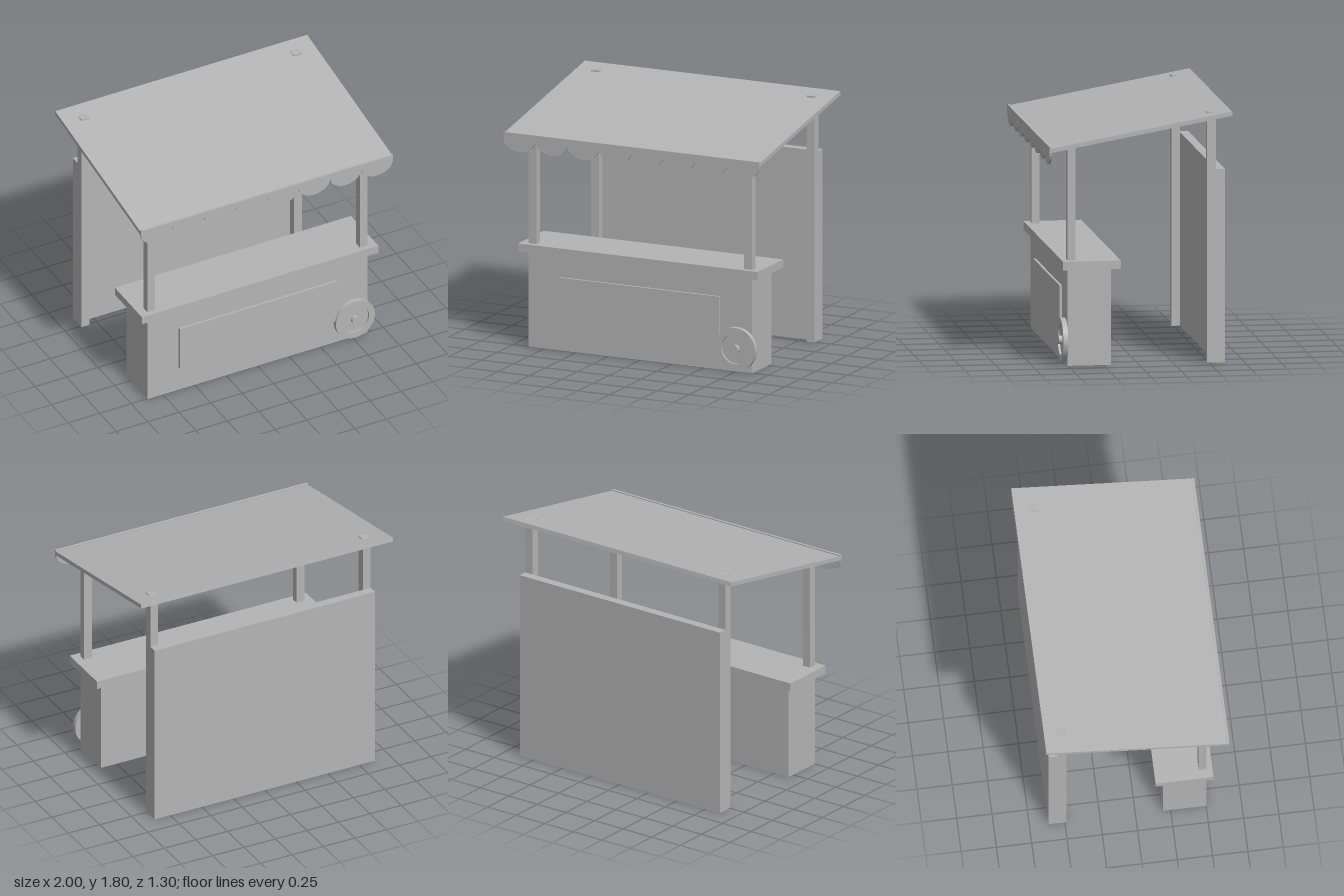
import * as THREE from 'three';

export function createModel() {
  const model = new THREE.Group();
  model.name = 'marketStall';
  const grey = new THREE.MeshStandardMaterial({ color: 0xb4b4b4 });
  grey.name = 'plain grey';

  const add = (name, geometry, parent = model) => {
    const mesh = new THREE.Mesh(geometry, grey);
    mesh.name = name;
    parent.add(mesh);
    return mesh;
  };
  // Box given by its lower and upper corners
  const box = (name, [x0, y0, z0], [x1, y1, z1]) => {
    const mesh = add(name, new THREE.BoxGeometry(x1 - x0, y1 - y0, z1 - z0));
    mesh.position.set((x0 + x1) / 2, (y0 + y1) / 2, (z0 + z1) / 2);
    return mesh;
  };

  // Counter
  box('counterBody', [-0.875, 0, 0.195], [0.875, 0.69, 0.505]);
  box('counterTop', [-0.938, 0.69, 0.135], [0.938, 0.75, 0.545]);
  box('frontPanel', [-0.625, 0.19, 0.505], [0.625, 0.532, 0.523]);

  // Back wall and four posts
  box('backWall', [-0.875, 0, -0.615], [0.875, 1.375, -0.55]);
  for (const side of [-1, 1]) {
    const x0 = side * 0.844 - 0.031, x1 = x0 + 0.062;
    box('frontPost', [x0, 0.75, 0.448], [x1, 1.568, 0.505]);
    box('backPost', [x0, 0, -0.55], [x1, 1.783, -0.487]);
  }

  // Sloping roof
  const slope = Math.atan2(0.234, 1.285);
  const roof = add('roof', new THREE.BoxGeometry(2, 0.03, 1.31));
  roof.position.set(0, 1.668, -0.004);
  roof.rotation.x = slope;

  // Scalloped valance along the front edge of the roof
  const valance = new THREE.Shape();
  const scallops = 8, steps = 12, width = 2 / scallops;
  valance.moveTo(-1, 1.575);
  for (let i = 0; i < scallops; i++) {
    const centre = -1 + (i + 0.5) * width;
    for (let j = 0; j <= steps; j++) {
      if (i > 0 && j === 0) continue;
      const a = Math.PI * (1 + j / steps);
      valance.lineTo(centre + Math.cos(a) * width / 2, 1.537 + Math.sin(a) * 0.096);
    }
  }
  valance.lineTo(1, 1.575);
  const valanceMesh = add('scallopedValance',
    new THREE.ExtrudeGeometry(valance, { depth: 0.018, bevelEnabled: false }));
  valanceMesh.position.z = 0.633;

  // Wheel: raised rim, recessed disc and hub
  const wheel = new THREE.Group();
  wheel.name = 'wheel';
  wheel.position.set(0.76, 0.17, 0.505);
  model.add(wheel);
  const rim = new THREE.Shape().absarc(0, 0, 0.155, 0, Math.PI * 2, false);
  rim.holes.push(new THREE.Path().absarc(0, 0, 0.108, 0, Math.PI * 2, true));
  add('wheelRim', new THREE.ExtrudeGeometry(rim,
    { depth: 0.035, bevelEnabled: false, curveSegments: 32 }), wheel);
  const disc = (name, radius, depth) => {
    const mesh = add(name, new THREE.CylinderGeometry(radius, radius, depth, 32), wheel);
    mesh.rotation.x = Math.PI / 2;
    mesh.position.z = depth / 2;
  };
  disc('wheelDisc', 0.108, 0.02);
  disc('wheelHub', 0.03, 0.048);

  return model;
}
